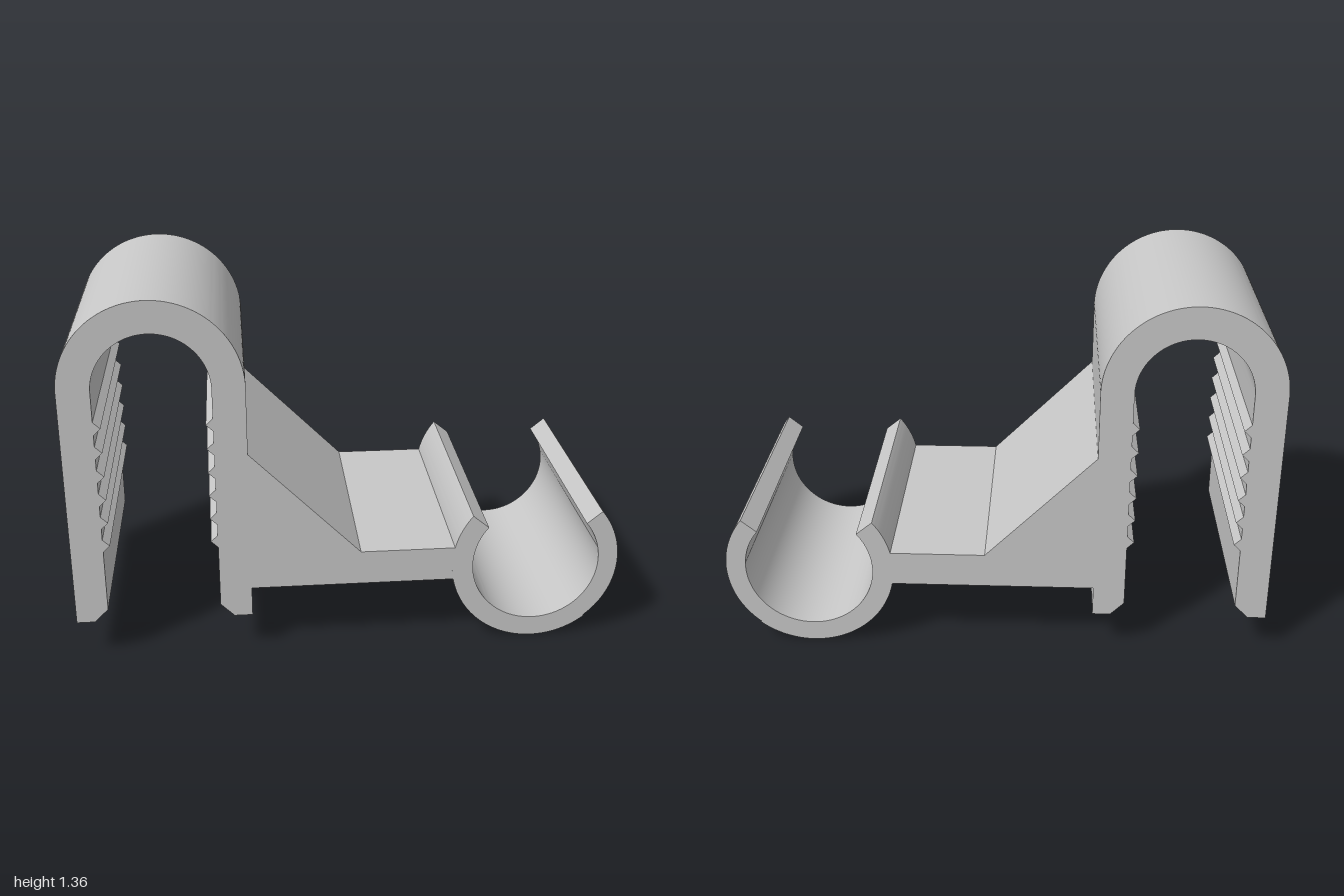
import * as THREE from 'three';
import { toCreasedNormals } from 'three/addons/utils/BufferGeometryUtils.js';

const DEPTH = 0.9;
const rad = THREE.MathUtils.degToRad;

// Extrude a front profile through the full depth, centred on z = 0
function profilePart(name, shape, material) {
  const geo = new THREE.ExtrudeGeometry(shape, { depth: DEPTH, bevelEnabled: false, curveSegments: 48 });
  geo.translate(0, 0, -DEPTH / 2);
  const mesh = new THREE.Mesh(toCreasedNormals(geo, 0.4), material);
  mesh.name = name;
  return mesh;
}

export function createModel() {
  const grey = new THREE.MeshStandardMaterial({ color: 0xc7c7c7 });
  grey.name = 'plain grey';
  const group = new THREE.Group();
  group.name = 'hookWithClip';

  // Upside-down U hook with chamfered feet and gripping teeth
  const cx = -0.68, cy = 1.038, outer = 0.32, inner = 0.204;
  const teeth = [0.455, 0.546, 0.636, 0.726, 0.816, 0.907];
  const toothHalf = 0.024, toothDepth = 0.025;
  const hook = new THREE.Shape();
  hook.moveTo(cx + inner + 0.05, 0.145);
  hook.lineTo(cx + outer, 0.145);
  hook.absarc(cx, cy, outer, 0, Math.PI, false);
  hook.lineTo(cx - outer, 0.145);
  hook.lineTo(cx - inner - 0.05, 0.145);
  hook.lineTo(cx - inner, 0.195);
  const addTeeth = (side, heights, dir) => {
    for (const y of heights) {
      hook.lineTo(cx + side * inner, y - dir * toothHalf);
      hook.lineTo(cx + side * (inner - toothDepth), y);
      hook.lineTo(cx + side * inner, y + dir * toothHalf);
    }
  };
  addTeeth(-1, teeth, 1);
  hook.absarc(cx, cy, inner, Math.PI, 0, true);
  addTeeth(1, [...teeth].reverse(), -1);
  hook.lineTo(cx + inner, 0.195);
  hook.closePath();
  group.add(profilePart('hook', hook, grey));

  // Arm with a sloping gusset, its end hollowed to meet the clip
  const rx = 0.691, ry = 0.314, R = 0.313, Rright = 0.309, r = 0.236;
  const top = 0.387, bottom = 0.257;
  const arm = new THREE.Shape();
  arm.moveTo(0.04, top);
  arm.lineTo(cx + outer, 0.79);
  arm.lineTo(cx + outer, bottom);
  arm.lineTo(rx - Math.sqrt(R * R - (ry - bottom) ** 2), bottom);
  arm.absarc(rx, ry, R, Math.PI + Math.asin((ry - bottom) / R), Math.PI - Math.asin((top - ry) / R), true);
  arm.closePath();
  group.add(profilePart('arm', arm, grey));

  // Open round clip, with a shallow step low on its outer side
  const clip = new THREE.Shape();
  clip.absarc(rx, ry, R, rad(140.5), rad(309.5), false);
  clip.absarc(rx, ry, Rright, rad(309.5), rad(399.5), false);
  clip.absarc(rx, ry, r, rad(399.5), rad(140.5), true);
  clip.closePath();
  group.add(profilePart('clip', clip, grey));

  return group;
}
